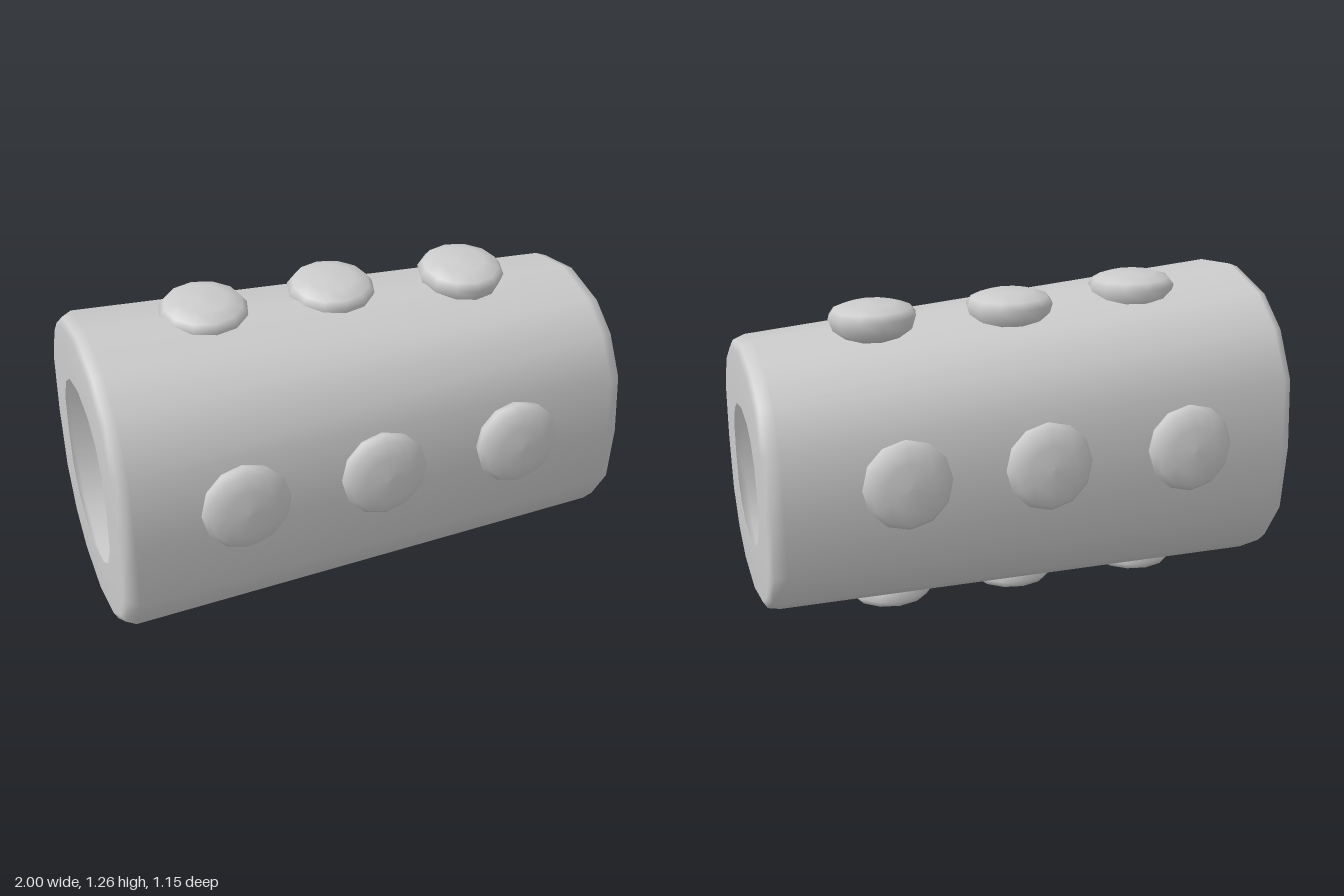
import * as THREE from 'three';

const SIDES = 16;

// Slightly squared oval: quarter profile mirrored around the full turn
const QUARTER = [[1, 0], [0.92, 0.47], [0.75, 0.75], [0.46, 0.95], [0, 1]];
function ovalPoint(i) {
  const k = i % 4, quadrant = Math.floor(i / 4) % 4;
  const [c, s] = QUARTER[k];
  return [[c, s], [-QUARTER[4 - k][0], QUARTER[4 - k][1]], [-c, -s],
    [QUARTER[4 - k][0], -QUARTER[4 - k][1]]][quadrant];
}

// Rings along the axis: x, centre height, half height, half depth
const RINGS = [
  [-1, 0.65, 0.35, 0.30],
  [-1, 0.65, 0.55, 0.465],
  [-0.985, 0.65, 0.575, 0.495],
  [-0.95, 0.65, 0.59, 0.515],
  [0.94, 0.616, 0.513, 0.445],
  [0.985, 0.612, 0.5, 0.43],
  [1, 0.611, 0.475, 0.40],
  [1, 0.612, 0.267, 0.23],
];

// Hollow tapered shell with rounded rims and an oval opening at each end
function shellGeometry() {
  const positions = [], index = [];
  RINGS.forEach(([x, cy, hy, hz], r) => {
    for (let i = 0; i < SIDES; i++) {
      const [c, s] = ovalPoint(i);
      positions.push(x, cy + hy * c, hz * s);
      if (r === RINGS.length - 1) continue;
      const a = r * SIDES + i, b = r * SIDES + (i + 1) % SIDES;
      index.push(a, b, a + SIDES, b, b + SIDES, a + SIDES);
    }
  });
  const geometry = new THREE.BufferGeometry();
  geometry.setAttribute('position', new THREE.Float32BufferAttribute(positions, 3));
  geometry.setIndex(index);
  geometry.computeVertexNormals();
  return geometry;
}

// Flattened twelve-sided button, widest at height 0
function studGeometry() {
  const profile = [[0, -0.08], [0.13, -0.075], [0.15, -0.045], [0.165, 0],
    [0.145, 0.027], [0.09, 0.045], [0, 0.05]];
  return new THREE.LatheGeometry(profile.map(([r, h]) => new THREE.Vector2(r, h)), 12);
}

// Rows of studs: turn about the long axis in degrees, then x, y, z of each stud
const ROWS = {
  topStud: [5, [[-0.51, 1.213, -0.04], [-0.01, 1.193, -0.06], [0.505, 1.188, -0.02]]],
  frontStud: [86, [[-0.55, 0.725, 0.52], [-0.02, 0.715, 0.5], [0.52, 0.71, 0.49]]],
  bottomStud: [185, [[-0.56, 0.058, -0.03], [-0.03, 0.066, -0.03], [0.47, 0.063, -0.02]]],
  backStud: [-83, [[-0.56, 0.715, -0.52], [-0.015, 0.71, -0.5], [0.51, 0.71, -0.49]]],
};

export function createModel() {
  const model = new THREE.Group();
  const material = new THREE.MeshStandardMaterial({ color: 0xcccccc, side: THREE.DoubleSide });

  const shell = new THREE.Mesh(shellGeometry(), material);
  shell.name = 'hollowBarrel';
  model.add(shell);

  const geometry = studGeometry();
  for (const [name, [turn, places]] of Object.entries(ROWS)) {
    const row = new THREE.Group();
    row.name = name + 'Row';
    for (const place of places) {
      const stud = new THREE.Mesh(geometry, material);
      stud.name = name;
      stud.position.set(...place);
      stud.rotation.x = THREE.MathUtils.degToRad(turn);
      row.add(stud);
    }
    model.add(row);
  }
  return model;
}
